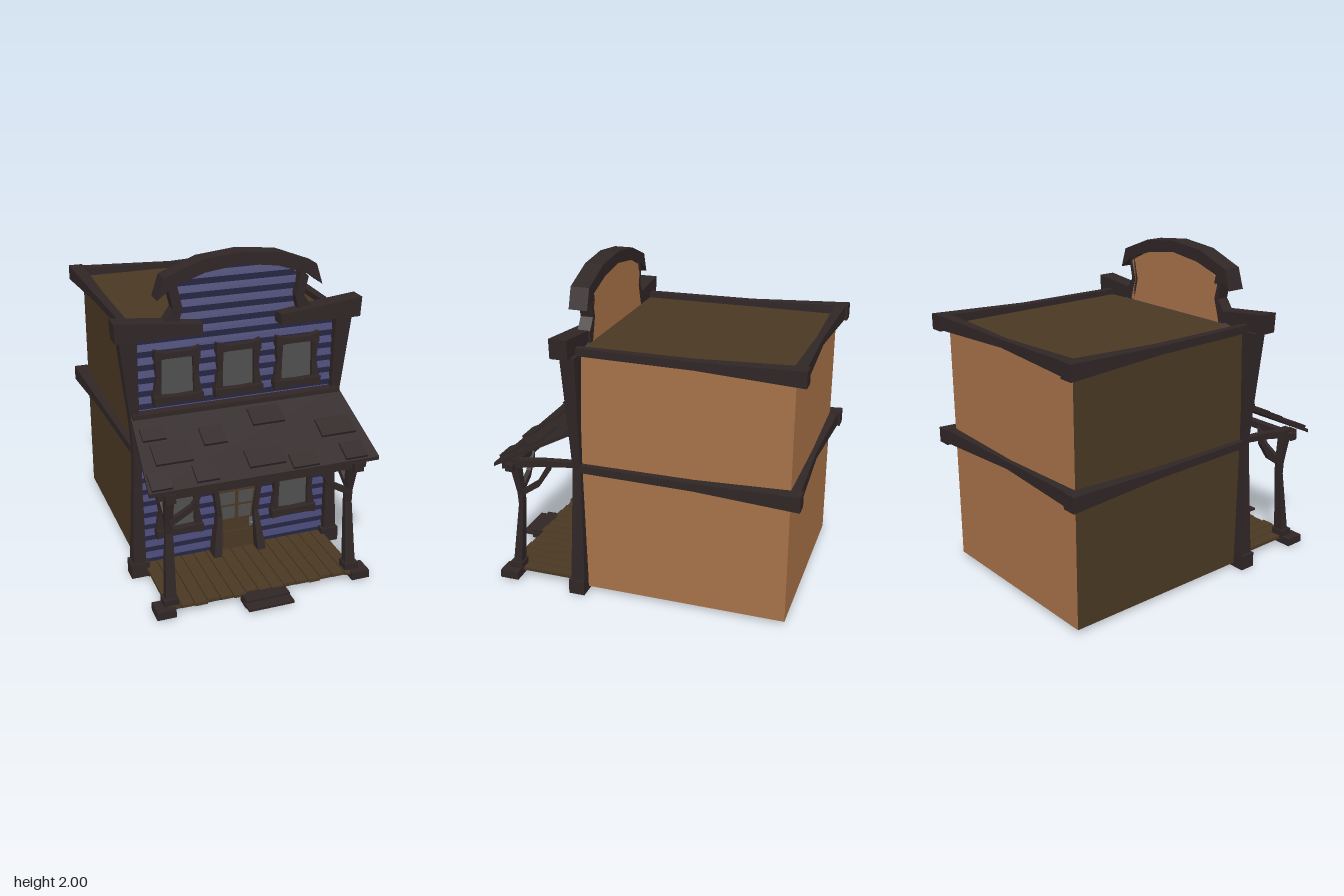
import * as THREE from 'three';

const mat = (name, color, extra) => new THREE.MeshStandardMaterial({ name, color, ...extra });

export function createModel() {
  const trim = mat('darkTrim', 0x302626);
  const orange = mat('orangeWall', 0xa87249);
  const brown = mat('brownWood', 0x4a3823);
  const blue = mat('blueBoard', 0x403f6f);
  const shadeBlue = mat('deepBlueBoard', 0x2e2d4f);
  const glass = mat('greyGlass', 0x4f4f4f);
  const metal = mat('doorMetal', 0x5c6168);

  const model = new THREE.Group();
  model.name = 'saloon';
  const group = (name) => {
    const g = new THREE.Group();
    g.name = name;
    model.add(g);
    return g;
  };
  const add = (name, geo, material, parent = model) => {
    const m = new THREE.Mesh(geo, material);
    m.name = name;
    parent.add(m);
    return m;
  };

  // Solid through rectangles [t, a0, a1, b0, b1], t rising along the axis.
  // Axis x: a = y, b = z. Axis y: a = z, b = x. Axis z: a = x, b = y.
  const loft = (axis, sections) => {
    const k = 'xyz'.indexOf(axis);
    const rings = sections.map(([t, a0, a1, b0, b1]) =>
      [[a0, b0], [a1, b0], [a1, b1], [a0, b1]].map(([a, b]) => {
        const p = [0, 0, 0];
        p[k] = t; p[(k + 1) % 3] = a; p[(k + 2) % 3] = b;
        return p;
      }));
    const pos = [];
    const quad = (a, b, c, d) => pos.push(...a, ...b, ...c, ...a, ...c, ...d);
    for (let i = 0; i + 1 < rings.length; i++)
      for (let e = 0; e < 4; e++) {
        const f = (e + 1) % 4;
        quad(rings[i][e], rings[i][f], rings[i + 1][f], rings[i + 1][e]);
      }
    const [a, b, c, d] = rings[0];
    quad(d, c, b, a);
    quad(...rings[rings.length - 1]);
    const g = new THREE.BufferGeometry();
    g.setAttribute('position', new THREE.Float32BufferAttribute(pos, 3));
    g.computeVertexNormals();
    return g;
  };
  const box = (x0, x1, y0, y1, z0, z1) => loft('z', [[z0, x0, x1, y0, y1], [z1, x0, x1, y0, y1]]);
  const side = (s, a, b) => (s > 0 ? [a, b] : [-b, -a]);
  const prism = (pts, z0, z1) => new THREE.ExtrudeGeometry(
    new THREE.Shape(pts.map((p) => new THREE.Vector2(...p))),
    { depth: z1 - z0, bevelEnabled: false }).translate(0, 0, z0);

  // Main body: one long wall and the roof are bare brown wood
  add('body', new THREE.BoxGeometry(1.24, 1.53, 1.26).translate(0, 0.79, -0.3),
    [orange, brown, brown, orange, orange, orange]);

  // Sagging beams round the roof edge and the middle floor
  for (const [name, y] of [['roofBeam', 1.567], ['floorBeam', 0.838]]) {
    const g = group(name);
    for (const s of [-1, 1])
      add('sideBeam', loft('z', [
        [-1, ...side(s, 0.61, 0.7), y - 0.048, y + 0.048],
        [-0.37, ...side(s, 0.612, 0.672), y - 0.025, y + 0.024],
        [0.33, ...side(s, 0.612, 0.655), y - 0.023, y + 0.024]]), trim, g);
    add('backBeam', loft('x', [
      [-0.62, y - 0.044, y + 0.044, -0.985, -0.915],
      [0, y - 0.024, y + 0.024, -0.96, -0.92],
      [0.62, y - 0.044, y + 0.044, -0.985, -0.915]]), trim, g);
  }

  // Clapboard front, narrowing into the crown above the cornice
  const siding = group('siding');
  const outline = [[0, 0.62], [1.55, 0.62], [1.56, 0.41], [1.7, 0.37], [1.82, 0.4], [1.9, 0.24], [1.95, 0.05]];
  const halfWidth = (y) => {
    const i = Math.max(1, outline.findIndex((p) => p[0] >= y));
    const [p, q] = [outline[i - 1], outline[i]];
    return p[1] + (q[1] - p[1]) * (y - p[0]) / (q[0] - p[0]);
  };
  for (let i = 0; i < 47; i++) {
    const y0 = 0.05 + i * 0.04, y1 = y0 + 0.04;
    const w0 = halfWidth(y0), w1 = halfWidth(y1), up = i % 2;
    add('board', loft('y', [
      [y0, 0.33, up ? 0.357 : 0.344, -w0, w0],
      [y1, 0.33, up ? 0.344 : 0.357, -w1, w1]]), up ? blue : shadeBlue, siding);
  }
  const back = outline.slice(2).map(([y, w]) => [w, y]);
  add('crownBack', prism([...back, ...back.map(([x, y]) => [-x, y]).reverse()], 0.322, 0.332), orange);

  // Arched crown cap
  const outer = [[0.5, 1.765], [0.46, 1.89], [0.24, 1.975], [0, 2]];
  const inner = [[0, 1.93], [0.22, 1.9], [0.41, 1.835]];
  const mirror = (pts) => pts.map(([x, y]) => [-x, y]);
  add('crownCap', prism([...outer, ...mirror(outer.slice(0, 3)).reverse(),
    ...mirror(inner.slice(1)).reverse(), ...inner], 0.315, 0.43), trim);

  for (const s of [-1, 1]) {
    const flip = (pts) => (s > 0 ? pts : mirror(pts).reverse());
    // Crown sides, cornice and corner posts
    add('crownSide', prism(flip([[0.38, 1.56], [0.45, 1.56], [0.45, 1.63], [0.4, 1.7],
      [0.425, 1.81], [0.38, 1.86], [0.345, 1.7]]), 0.322, 0.4), trim);
    add('cornice', prism(flip([[0.24, 1.545], [0.75, 1.545], [0.757, 1.665], [0.24, 1.61]]), 0.335, 0.445), trim);
    add('cornerPost', loft('y', [
      [0.08, 0.31, 0.4, ...side(s, 0.6, 0.68)],
      [0.83, 0.325, 0.375, ...side(s, 0.605, 0.65)],
      [1.05, 0.325, 0.385, ...side(s, 0.61, 0.665)],
      [1.55, 0.31, 0.4, ...side(s, 0.615, 0.72)]]), trim);
    add('cornerFoot', box(...side(s, 0.58, 0.695), 0, 0.095, 0.31, 0.41), trim);

    // Porch post, braces and side beam
    const g = group('porchSupport');
    add('pad', box(...side(s, 0.56, 0.675), 0.01, 0.06, 0.77, 0.89), trim, g);
    add('foot', box(...side(s, 0.53, 0.62), 0.05, 0.1, 0.765, 0.845), trim, g);
    add('post', loft('y', [
      [0.09, 0.775, 0.83, ...side(s, 0.54, 0.605)],
      [0.5, 0.75, 0.78, ...side(s, 0.54, 0.585)],
      [0.58, 0.75, 0.785, ...side(s, 0.54, 0.585)],
      [0.81, 0.77, 0.83, ...side(s, 0.54, 0.6)]]), trim, g);
    add('sideBrace', loft('z', [
      [0.56, ...side(s, 0.555, 0.585), 0.76, 0.82],
      [0.64, ...side(s, 0.555, 0.585), 0.64, 0.685],
      [0.77, ...side(s, 0.555, 0.585), 0.55, 0.59]]), trim, g);
    const brace = [[0.36, 0.735, 0.77], [0.43, 0.625, 0.665], [0.56, 0.55, 0.59]]
      .map(([x, y0, y1]) => [s * x, y0, y1, 0.765, 0.795]);
    add('frontBrace', loft('x', s > 0 ? brace : brace.reverse()), trim, g);
    add('sideBeam', loft('z', [
      [0.34, ...side(s, 0.55, 0.6), 0.82, 0.85],
      [0.6, ...side(s, 0.55, 0.6), 0.79, 0.83],
      [0.87, ...side(s, 0.545, 0.605), 0.74, 0.795]]), trim, g);
  }

  // Porch roof with loose shingles
  const porch = group('porchRoof');
  add('frontBeam', box(-0.64, 0.64, 0.745, 0.79, 0.78, 0.83), trim, porch);
  add('wallTrim', box(-0.655, 0.655, 1.04, 1.085, 0.34, 0.41), trim, porch);
  add('slope', loft('z', [[0.37, -0.66, 0.66, 1.055, 1.078], [0.87, -0.7, 0.7, 0.8, 0.823]]), trim, porch);
  for (const [x, z, w, d] of [[-0.57, 0.52, 0.14, 0.09], [-0.23, 0.58, 0.14, 0.13], [0.13, 0.5, 0.2, 0.13],
    [-0.5, 0.65, 0.22, 0.15], [0.52, 0.64, 0.22, 0.13], [0.02, 0.765, 0.22, 0.12],
    [-0.35, 0.8, 0.13, 0.12], [-0.62, 0.81, 0.12, 0.12], [0.56, 0.81, 0.14, 0.12], [0.24, 0.82, 0.16, 0.1]]) {
    const m = add('shingle', new THREE.BoxGeometry(w, 0.022, d), trim, porch);
    m.position.set(x, 1.083 - 0.51 * (z - 0.37), z);
    m.rotation.x = 0.45;
  }

  // Plank deck and front steps
  const deck = group('deck');
  for (let i = 0; i < 15; i++) {
    const x = -0.6 + i * 0.08;
    add('plank', box(x + 0.003, x + 0.077, 0.04, 0.06, 0.34, 0.85 + 0.008 * (i % 3)), brown, deck);
  }
  for (const z of [0.42, 0.8]) add('joist', box(-0.6, 0.6, 0.022, 0.04, z, z + 0.03), trim, deck);
  const steps = group('steps');
  add('lowerTread', box(-0.155, 0.13, 0.02, 0.035, 0.9, 1), trim, steps);
  add('upperTread', box(-0.15, 0.125, 0.04, 0.055, 0.84, 0.94), trim, steps);
  for (const x of [-0.11, 0.09]) add('stringer', box(x - 0.04, x + 0.04, 0, 0.04, 0.84, 0.93), trim, steps);

  // Windows with warped frames
  const window = (cx, y0, y1) => {
    const g = group('window');
    const ym = (y0 + y1) / 2;
    add('pane', box(-0.11, 0.11, y0, y1, 0.355, 0.362), glass, g);
    for (const s of [-1, 1])
      add('jamb', loft('y', [
        [y0, 0.345, 0.39, ...side(s, 0.1, 0.15)],
        [ym, 0.345, 0.385, ...side(s, 0.098, 0.127)],
        [y1, 0.345, 0.39, ...side(s, 0.095, 0.135)]]), trim, g);
    add('lintel', loft('x', [
      [-0.138, y1 - 0.01, y1 + 0.055, 0.345, 0.395],
      [-0.07, y1, y1 + 0.035, 0.345, 0.395],
      [0.07, y1, y1 + 0.035, 0.345, 0.395],
      [0.138, y1 - 0.01, y1 + 0.055, 0.345, 0.395]]), trim, g);
    add('sill', loft('x', [
      [-0.15, y0 - 0.04, y0 + 0.015, 0.345, 0.41],
      [0, y0 - 0.025, y0 + 0.008, 0.345, 0.41],
      [0.15, y0 - 0.04, y0 + 0.015, 0.345, 0.41]]), trim, g);
    g.position.x = cx;
  };
  for (const x of [-0.375, 0, 0.375]) window(x, 1.165, 1.405);
  for (const x of [-0.378, 0.378]) window(x, 0.285, 0.53);

  // Crooked door
  const door = group('door');
  add('leaf', loft('y', [[0.06, 0.34, 0.37, -0.115, 0.12], [0.3, 0.34, 0.37, -0.11, 0.12],
    [0.58, 0.34, 0.37, -0.145, 0.145]]), brown, door);
  for (const s of [-1, 1]) {
    add('jamb', loft('y', [
      [0.05, 0.34, 0.45, ...side(s, 0.12, 0.175)],
      [0.32, 0.34, 0.4, ...side(s, 0.105, 0.135)],
      [0.59, 0.34, 0.395, ...side(s, 0.14, 0.17)]]), trim, door);
    for (let r = 0; r < 3; r++) {
      const y = 0.28 + r * 0.1, w = 0.09 + r * 0.012;
      add('pane', loft('y', [[y, 0.368, 0.374, ...side(s, 0.012, w)],
        [y + 0.083, 0.368, 0.374, ...side(s, 0.012, w + 0.01)]]), glass, door);
    }
  }
  add('header', loft('x', [[-0.18, 0.58, 0.622, 0.34, 0.41], [0, 0.575, 0.605, 0.34, 0.41],
    [0.18, 0.58, 0.622, 0.34, 0.41]]), trim, door);
  add('lowerPanel', box(-0.085, 0.08, 0.08, 0.19, 0.368, 0.377), brown, door);
  add('handlePlate', box(0.085, 0.107, 0.205, 0.265, 0.368, 0.376), metal, door);
  add('handle', new THREE.SphereGeometry(0.012, 8, 6).translate(0.096, 0.23, 0.385), metal, door);

  return model;
}
